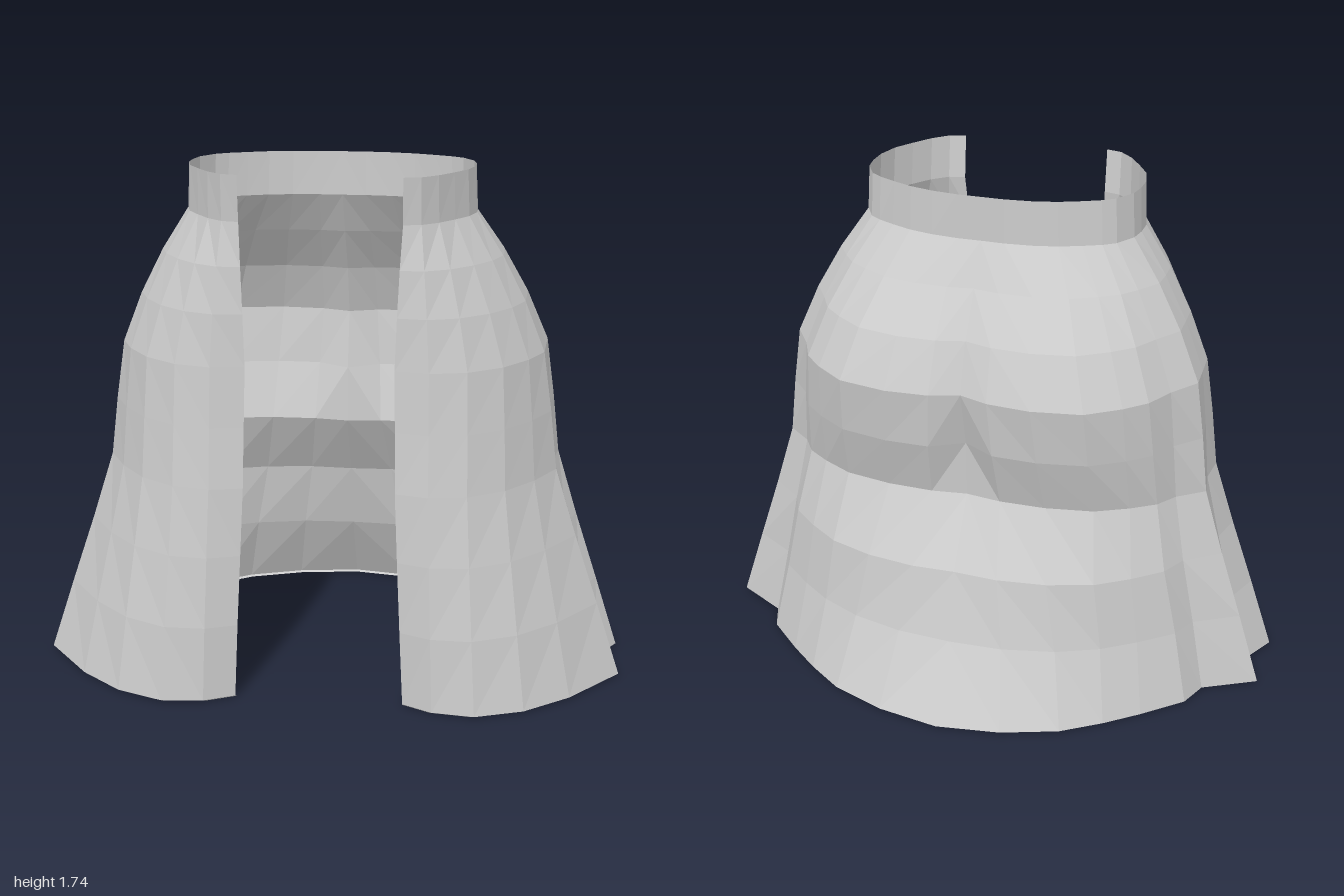
import * as THREE from 'three';

// Half outlines [x, z] from the front opening, round the left side, to the centre back
const hem = [[.28, .555], [.38, .605], [.52, .62], [.68, .56], [.83, .44], [1, .235], [.93, .10], [1, -.02],
  [.82, -.12], [.78, -.22], [.65, -.34], [.54, -.43], [.41, -.52], [.22, -.59], [0, -.62]];
const hip = [[.24, .51], [.35, .53], [.47, .50], [.58, .42], [.66, .31], [.71, .20], [.715, .10], [.72, 0],
  [.65, -.10], [.60, -.20], [.53, -.27], [.42, -.35], [.25, -.38], [.10, -.37], [0, -.335]];
const waist = [[.26, .485], [.315, .47], [.365, .42], [.41, .35], [.45, .28], [.47, .20], [.47, .13], [.46, .07],
  [.42, 0], [.38, -.03], [.32, -.06], [.25, -.09], [.17, -.11], [.08, -.12], [0, -.12]];

// Each ring: height, blend (1 = hem, 0 = hip, -1 = waist), front z, back z, depth of the centre-back fold
const rings = [
  [.005, 1, .63, -.62, -.005],
  [.26, .71, .61, -.48, 0],
  [.50, .43, .59, -.42, 0],
  [.73, .18, .57, -.29, 0],
  [.93, .10, .55, -.35, .04],
  [1.13, 0, .535, -.38, 0],
  [1.30, -.28, .52, -.31, 0],
  [1.45, -.60, .50, -.205, 0],
  [1.59, -.97, .48, -.12, 0],
  [1.74, -1, .495, -.12, 0],
];

// Blend two outlines, fit the front and back depth, then mirror to the right side
function makeRing([y, blend, front, back, fold]) {
  const target = blend > 0 ? hem : waist, t = Math.abs(blend);
  const half = hip.map(([x, z], i) => [x + (target[i][0] - x) * t, z + (target[i][1] - z) * t]);
  const zMax = Math.max(...half.map(p => p[1])), zMin = Math.min(...half.map(p => p[1]));
  const pts = half.map(([x, z], i) => {
    if (z > .1) z = .1 + (z - .1) * (front - .1) / (zMax - .1);
    if (z < 0) z *= back / zMin;
    return [x, y, z + (i === half.length - 1 ? fold : 0)];
  });
  return pts.concat(pts.slice(0, -1).reverse().map(([x, h, z]) => [-x, h, z]));
}

// Join successive loops into an open cloth sheet
function makeSheet(name, loops, material) {
  const n = loops[0].length, pos = [], index = [];
  loops.forEach(loop => loop.forEach(p => pos.push(...p)));
  for (let r = 0; r < loops.length - 1; r++) {
    for (let i = 0; i < n - 1; i++) {
      const a = r * n + i, b = a + 1, c = a + n, d = c + 1;
      // mirrored diagonals keep both sides symmetrical
      if (i < (n - 1) / 2) index.push(a, b, d, a, d, c);
      else index.push(a, b, c, b, d, c);
    }
  }
  const g = new THREE.BufferGeometry();
  g.setAttribute('position', new THREE.Float32BufferAttribute(pos, 3));
  g.setIndex(index);
  const flat = g.toNonIndexed();
  flat.computeVertexNormals();
  const mesh = new THREE.Mesh(flat, material);
  mesh.name = name;
  return mesh;
}

export function createModel() {
  const group = new THREE.Group();
  group.name = 'openSkirt';
  const cloth = new THREE.MeshStandardMaterial({ color: 0xcccccc, side: THREE.DoubleSide, flatShading: true });
  cloth.name = 'light grey cloth';
  const loops = rings.map(makeRing);
  group.add(makeSheet('skirt', loops.slice(0, 9), cloth));
  group.add(makeSheet('waistband', loops.slice(8), cloth));
  // narrow hem turned inwards along the lower edge
  const turned = loops[0].map(([x, , z]) => [x * .985, 0, z * .985]);
  group.add(makeSheet('hemEdge', [turned, loops[0]], cloth));
  return group;
}
